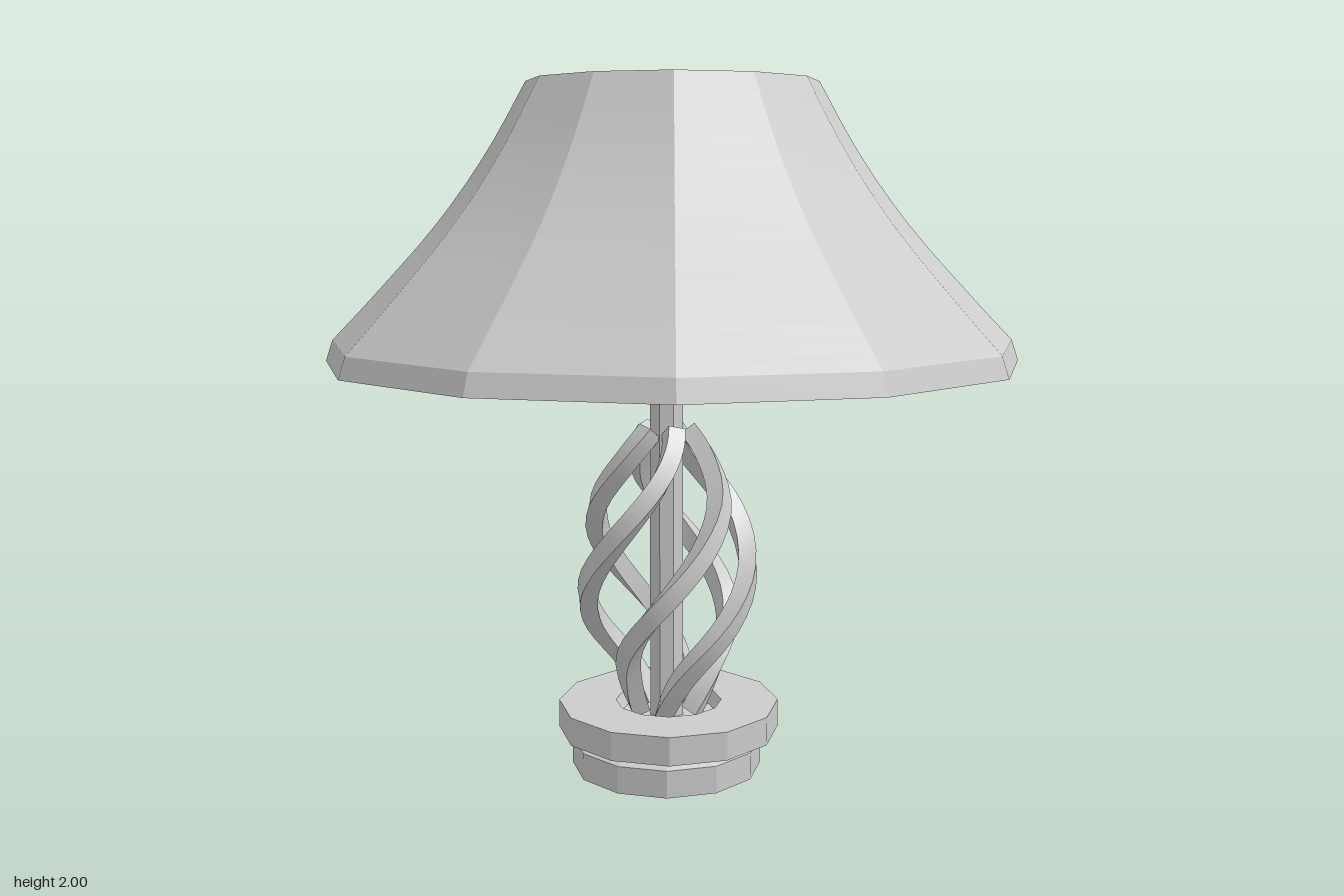
import * as THREE from 'three';
import { toCreasedNormals } from 'three/addons/utils/BufferGeometryUtils.js';

const smoothMat = new THREE.MeshStandardMaterial({ color: 0xcccccc });
const flatMat = new THREE.MeshStandardMaterial({ color: 0xcccccc, flatShading: true });
const V2 = (p) => new THREE.Vector2(p[0], p[1]);
const V3 = (p) => new THREE.Vector3(...p);

function part(name, geometry, material, parent) {
  const mesh = new THREE.Mesh(geometry, material);
  mesh.name = name;
  parent.add(mesh);
  return mesh;
}

const lathe = (pts, sides) => new THREE.LatheGeometry(pts.map(V2), sides);
const curve2 = (pts, n) => new THREE.SplineCurve(pts.map(V2)).getPoints(n).map((p) => [p.x, p.y]);

// Square bar that twists upward around the stem and bulges in the middle
function twistedBar(startAngle) {
  const radius = new THREE.SplineCurve([[0.08, 0.17], [0.135, 0.29], [0.215, 0.44], [0.24, 0.6],
    [0.205, 0.78], [0.12, 0.93], [0.06, 1.01]].map(V2));
  const at = (t) => {
    const p = radius.getPoint(t);
    const a = startAngle + ((p.y - 0.17) / 0.84) * 2.95;
    return new THREE.Vector3(p.x * Math.sin(a), p.y, p.x * Math.cos(a));
  };
  const steps = 28, half = 0.026, pos = [], idx = [];
  for (let i = 0; i <= steps; i++) {
    const t = i / steps, c = at(t);
    const tangent = at(Math.min(1, t + 0.01)).sub(at(Math.max(0, t - 0.01))).normalize();
    const out = new THREE.Vector3(c.x, 0, c.z).normalize();
    out.addScaledVector(tangent, -out.dot(tangent)).normalize();
    const side = tangent.clone().cross(out);
    for (const [u, v] of [[1, 1], [-1, 1], [-1, -1], [1, -1]]) {
      const p = c.clone().addScaledVector(out, u * half).addScaledVector(side, v * half);
      pos.push(p.x, p.y, p.z);
    }
    if (i === steps) continue;
    for (let k = 0; k < 4; k++) {
      const a = i * 4 + k, b = i * 4 + (k + 1) % 4;
      idx.push(a, b, b + 4, a, b + 4, a + 4);
    }
  }
  const e = steps * 4;
  idx.push(0, 2, 1, 0, 3, 2, e, e + 1, e + 2, e, e + 2, e + 3);
  const g = new THREE.BufferGeometry();
  g.setAttribute('position', new THREE.Float32BufferAttribute(pos, 3));
  g.setIndex(idx);
  return toCreasedNormals(g, 0.6);
}

export function createModel() {
  const model = new THREE.Group();
  model.name = 'tableLamp';

  // Twelve-sided shade: flared outer wall, thick rims and inner wall
  const outer = curve2([[0.98, 1.27], [0.855, 1.4], [0.675, 1.6], [0.53, 1.8], [0.415, 2]], 14);
  const inner = curve2([[0.33, 2], [0.435, 1.8], [0.565, 1.57], [0.69, 1.38], [0.83, 1.21]], 14);
  const shade = lathe([[0.83, 1.21], [1, 1.21], ...outer, ...inner], 12);
  part('shade', toCreasedNormals(shade, 0.25), smoothMat, model);

  // Everything below stands on the stem axis
  const stand = new THREE.Group();
  stand.name = 'stand';
  stand.position.set(-0.018, 0, 0);
  model.add(stand);

  // Stepped base with a sunken middle
  const foot = part('foot', lathe([[0, 0], [0.295, 0], [0.295, 0.08], [0.24, 0.108], [0, 0.108]], 12), flatMat, stand);
  const plate = part('basePlate', lathe([[0, 0.1], [0.22, 0.1], [0.22, 0.112], [0.343, 0.112], [0.343, 0.195],
    [0.165, 0.195], [0.15, 0.155], [0, 0.155]], 12), flatMat, stand);
  foot.scale.x = plate.scale.x = 0.95;
  plate.position.x = 0.006;

  // Stem
  const stem = part('stem', new THREE.CylinderGeometry(0.052, 0.052, 1.1, 8), flatMat, stand);
  stem.position.y = 0.67;
  stem.rotation.y = Math.PI / 8;

  // Cage of five twisted bars
  for (let i = 0; i < 5; i++) {
    part('twistedBar', twistedBar(-1.35 + (i * Math.PI * 2) / 5), smoothMat, stand);
  }

  // Collar, diamond-plan socket and round bulb housing
  part('collar', lathe([[0, 1.2], [0.08, 1.2], [0.08, 1.23], [0, 1.23]], 8), flatMat, stand);
  part('socket', lathe([[0, 1.22], [0.11, 1.22], [0.195, 1.31], [0.195, 1.48], [0, 1.48]], 4), flatMat, stand);
  part('bulbHousing', lathe([[0, 1.47], [0.13, 1.47], [0.165, 1.53], [0.165, 1.59], [0.11, 1.64], [0, 1.64]], 12), flatMat, stand);

  // Double-spiral bulb tube
  const coil = [];
  for (let i = -80; i <= 80; i++) {
    const s = Math.abs(i) / 80;
    const r = 0.125 * Math.min(1, s * 6);
    const a = s * Math.PI * 6 + (i < 0 ? Math.PI : 0);
    coil.push(new THREE.Vector3(r * Math.cos(a), 1.915 - s * 0.29, r * Math.sin(a)));
  }
  part('spiralBulb', new THREE.TubeGeometry(new THREE.CatmullRomCurve3(coil), 220, 0.017, 7), smoothMat, stand);

  // Wire harp over the bulb, mirrored from one half
  const halfHarp = [[0.07, 1.225, 0], [0.19, 1.235, 0], [0.235, 1.33, 0], [0.32, 1.45, 0], [0.335, 1.72, 0],
    [0.285, 1.89, 0], [0.14, 1.945, 0]];
  const harpPath = [...halfHarp, [0, 1.95, 0], ...halfHarp.map(([x, y, z]) => [-x, y, z]).reverse()];
  part('harp', new THREE.TubeGeometry(new THREE.CatmullRomCurve3(harpPath.map(V3)), 72, 0.015, 6), smoothMat, stand);

  // Ring-shaped finial on top of the harp
  part('finial', lathe([[0.025, 1.94], [0.035, 1.94], [0.035, 1.955], [0.052, 1.965], [0.052, 1.98],
    [0.035, 1.98], [0.025, 1.94]], 10), flatMat, stand);

  return model;
}
